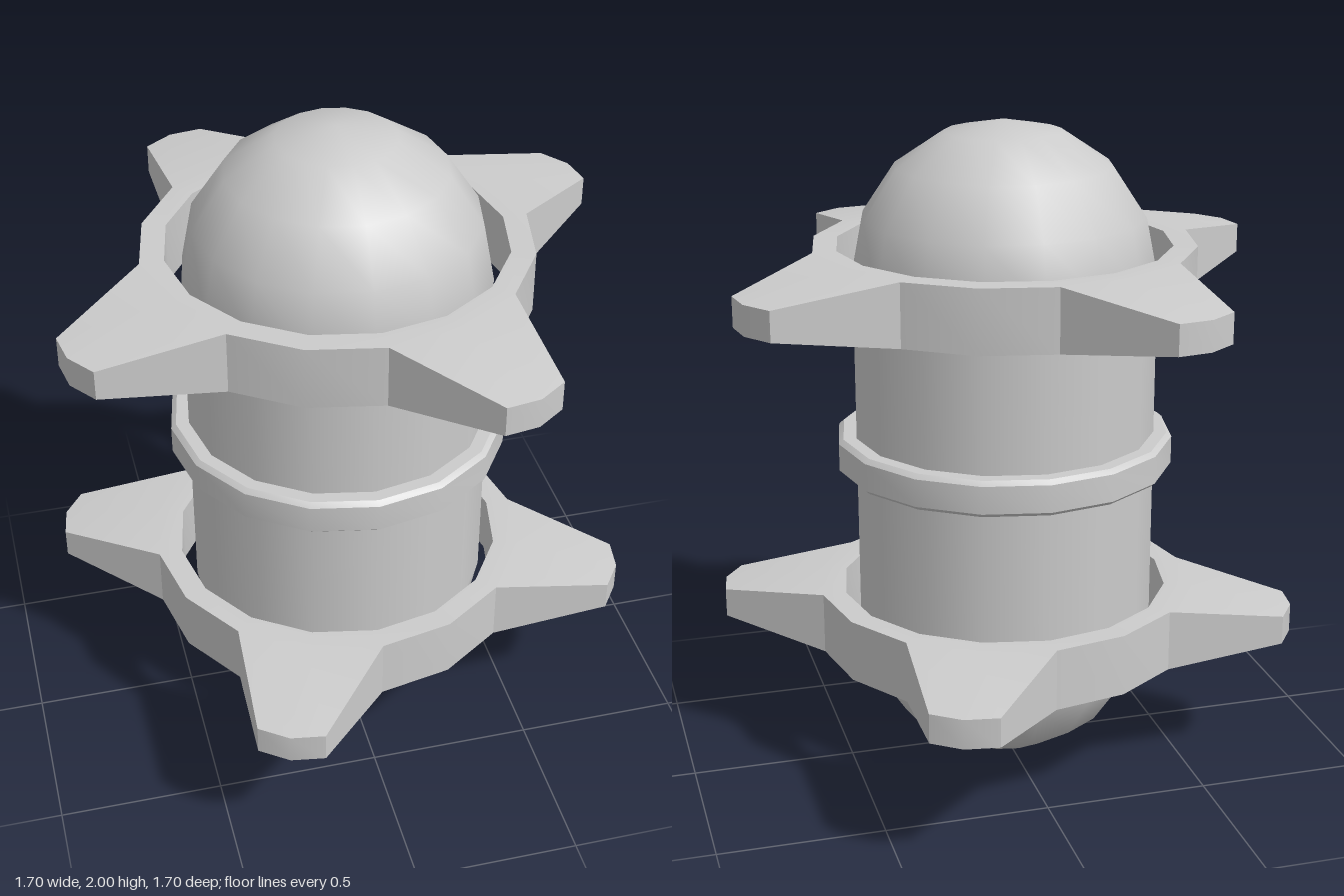
import * as THREE from 'three';
import { toCreasedNormals } from 'three/addons/utils/BufferGeometryUtils.js';

const SIDES = 16;
const RADIUS = 0.46;
const HALF = 0.54; // half length of the straight part of the body

// Point at radius r, angle in degrees (from +x towards +z) and height y
function polar(r, deg, y) {
  const a = THREE.MathUtils.degToRad(deg);
  return [r * Math.cos(a), y, r * Math.sin(a)];
}

// Ring with four tapering spikes, centred on its own origin
function spikedRingGeometry() {
  const inner = 0.505, outer = 0.577, h = 0.095, tipH = 0.045;
  const step = 360 / SIDES;
  const tips = [[0.882, -6.5], [0.9, 0], [0.882, 6.5]]; // radius, angle from spike centre
  const pos = [];
  const quad = (a, b, c, d) => pos.push(...a, ...b, ...c, ...a, ...c, ...d);

  // Top, bottom and outer faces between two pairs of stations {r, deg, h}
  const point = (s, sign) => polar(s.r, s.deg, sign * s.h);
  const plates = (i0, i1, o1, o0) => {
    quad(point(i0, 1), point(i1, 1), point(o1, 1), point(o0, 1));
    quad(point(i0, -1), point(o0, -1), point(o1, -1), point(i1, -1));
  };
  const wall = (s0, s1) => quad(point(s0, -1), point(s0, 1), point(s1, 1), point(s1, -1));

  for (let i = 0; i < SIDES; i++) {
    const a0 = i * step, a1 = a0 + step;
    const i0 = { r: inner, deg: a0, h }, i1 = { r: inner, deg: a1, h };
    const o0 = { r: outer, deg: a0, h }, o1 = { r: outer, deg: a1, h };
    plates(i0, i1, o1, o0);
    wall(i1, i0);
    const k = i % 4 - 2; // the last two segments of each quarter carry a spike
    if (k < 0) {
      wall(o0, o1);
      continue;
    }
    const centre = a0 + (1 - k) * step;
    const [t0, t1] = [tips[k], tips[k + 1]].map(([r, d]) => ({ r, deg: centre + d, h: tipH }));
    plates(o0, o1, t1, t0);
    wall(t0, t1);
    if (k === 0) wall(o0, t0);
    else wall(t1, o1);
  }
  const geometry = new THREE.BufferGeometry();
  geometry.setAttribute('position', new THREE.Float32BufferAttribute(pos, 3));
  return toCreasedNormals(geometry, 0.5);
}

export function createModel() {
  const group = new THREE.Group();
  const material = new THREE.MeshStandardMaterial({ color: 0xcccccc });
  const add = (name, geometry, y) => {
    const mesh = new THREE.Mesh(geometry, material);
    mesh.name = name;
    mesh.position.y = y;
    group.add(mesh);
    return mesh;
  };

  // Round-ended body
  add('body', new THREE.CapsuleGeometry(RADIUS, 2 * HALF, 4, SIDES), 1);

  // Bevelled band around the middle
  const profile = [
    [0.455, -0.055], [0.5, -0.055], [0.515, -0.042],
    [0.515, 0.042], [0.5, 0.055], [0.455, 0.055],
  ].map(([x, y]) => new THREE.Vector2(x, y));
  add('middleBand', toCreasedNormals(new THREE.LatheGeometry(profile, SIDES), 0.5), 1);

  // Spiked rings, the lower one turned upside down
  const ring = spikedRingGeometry();
  add('upperSpikedRing', ring, 1 + HALF);
  add('lowerSpikedRing', ring, 1 - HALF).rotation.x = Math.PI;

  return group;
}
